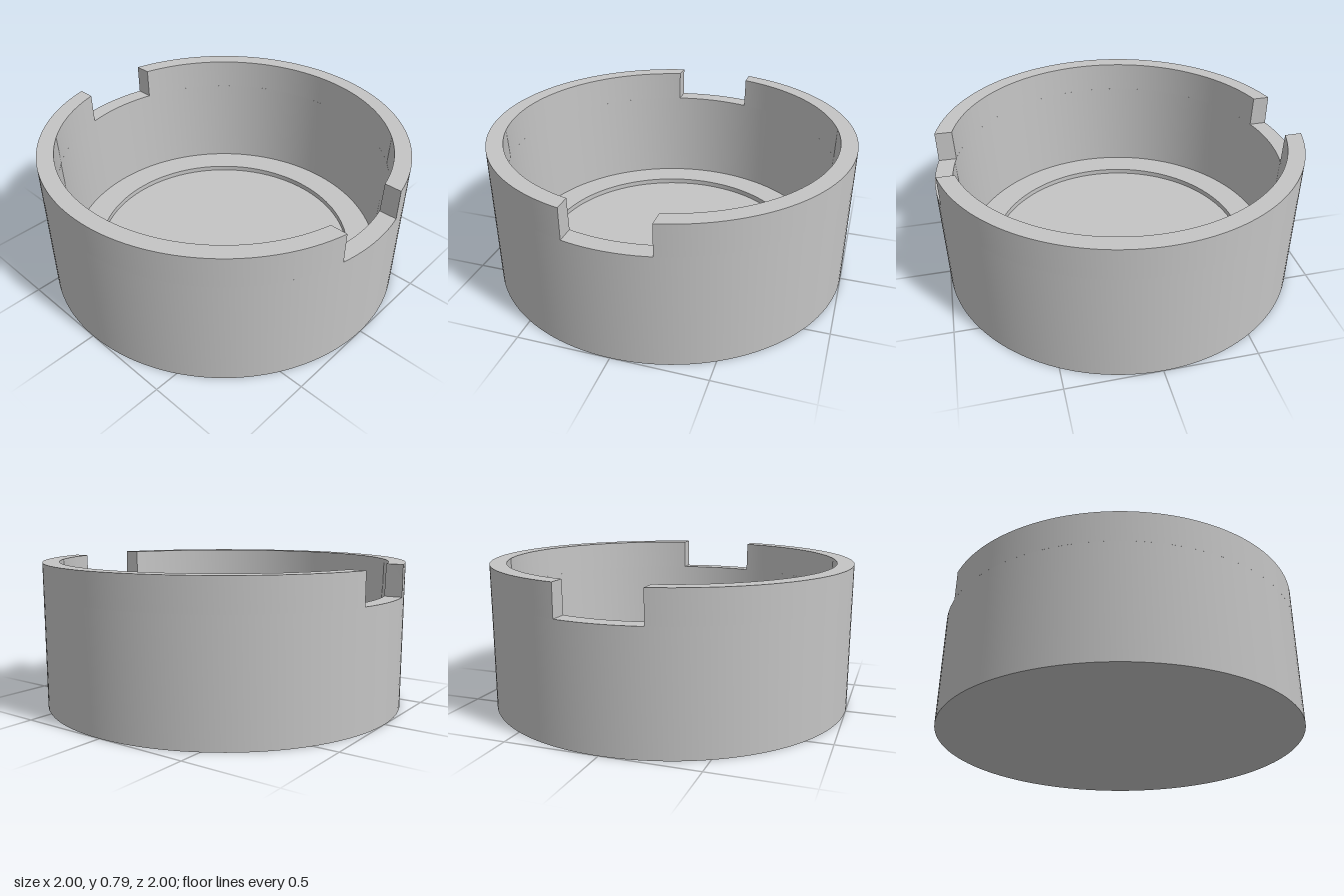
import * as THREE from 'three';
import { toCreasedNormals } from 'three/addons/utils/BufferGeometryUtils.js';

const HEIGHT = 0.79, NOTCH_Y = 0.62, NOTCH_HALF = 0.222;
const OUTER = 1, LEDGE_Y = 0.09, LEDGE_R = 0.735, FLOOR_Y = 0.06;

// The inner wall tapers slightly from rim to ledge
const innerRadius = (y) => THREE.MathUtils.mapLinear(y, LEDGE_Y, HEIGHT, 0.894, 0.91);

// Cup body up to the notch floor, with stepped recess inside
function bodyGeometry() {
  const profile = [
    [0, 0], [OUTER, 0], [OUTER, NOTCH_Y], [innerRadius(NOTCH_Y), NOTCH_Y],
    [innerRadius(LEDGE_Y), LEDGE_Y], [LEDGE_R, LEDGE_Y], [LEDGE_R, FLOOR_Y], [0, FLOOR_Y],
  ].map(([x, y]) => new THREE.Vector2(x, y));
  return toCreasedNormals(new THREE.LatheGeometry(profile, 128), 0.5);
}

// Raised rim on one side, cut square at the notches
function rimGeometry() {
  const rTop = innerRadius(HEIGHT);
  const a = Math.acos(NOTCH_HALF / OUTER), b = Math.acos(NOTCH_HALF / rTop);
  const shape = new THREE.Shape();
  shape.absarc(0, 0, OUTER, -a, a, false);
  shape.absarc(0, 0, rTop, b, -b, true);
  const geo = new THREE.ExtrudeGeometry(shape, {
    depth: HEIGHT - NOTCH_Y, bevelEnabled: false, curveSegments: 64,
  });
  geo.rotateX(-Math.PI / 2).translate(0, NOTCH_Y, 0);
  // Carry the inner taper on through the rim
  const p = geo.attributes.position;
  for (let i = 0; i < p.count; i++) {
    const r = Math.hypot(p.getX(i), p.getZ(i));
    if (r > 0.95) continue;
    const s = innerRadius(p.getY(i)) / r;
    p.setX(i, p.getX(i) * s);
    p.setZ(i, p.getZ(i) * s);
  }
  return toCreasedNormals(geo, 0.5);
}

export function createModel() {
  const model = new THREE.Group();
  model.name = 'notchedCup';
  const grey = new THREE.MeshStandardMaterial({ color: 0xc4c4c4 });
  grey.name = 'light grey';

  const body = new THREE.Mesh(bodyGeometry(), grey);
  body.name = 'cupBody';
  model.add(body);

  // Left and right rim halves leave notches at front and back
  const rim = rimGeometry();
  ['leftRim', 'rightRim'].forEach((name, i) => {
    const half = new THREE.Mesh(rim, grey);
    half.name = name;
    half.rotation.y = i * Math.PI;
    model.add(half);
  });
  return model;
}
